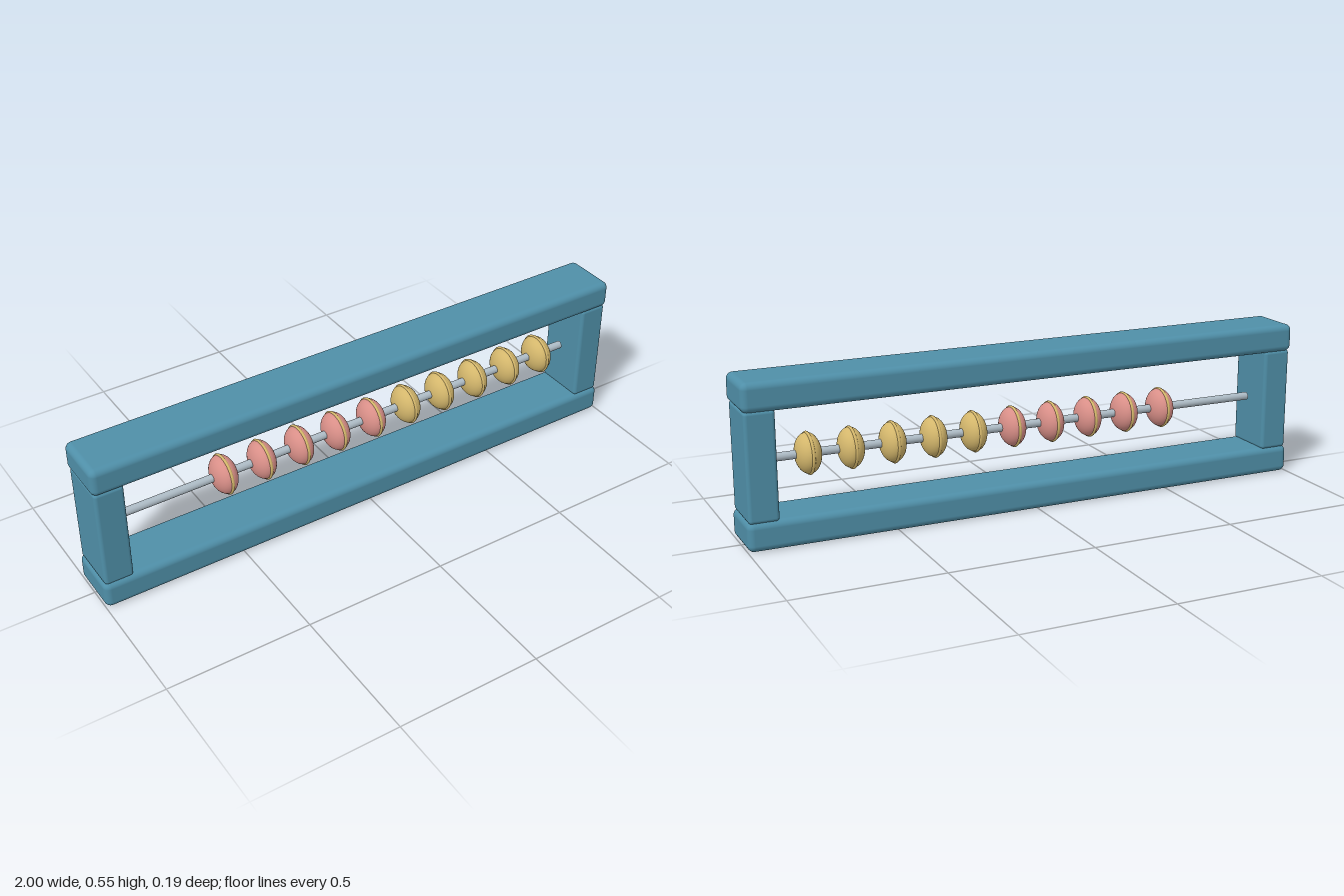
import * as THREE from 'three';
import { RoundedBoxGeometry } from 'three/addons/geometries/RoundedBoxGeometry.js';

const material = (name, color) => {
  const m = new THREE.MeshStandardMaterial({ color });
  m.name = name;
  return m;
};

export function createModel() {
  const model = new THREE.Group();
  model.name = 'beadFrame';
  const teal = material('teal paint', 0x4f8fa8);
  const pink = material('pink bead', 0xd98f88);
  const gold = material('gold bead', 0xd4b76c);
  const steel = material('steel rod', 0xaebcc6);

  const add = (parent, name, geometry, mat, x, y) => {
    const mesh = new THREE.Mesh(geometry, mat);
    mesh.name = name;
    mesh.position.set(x, y, 0);
    parent.add(mesh);
    return mesh;
  };

  // Frame: two long rails and two slightly narrower posts
  const rail = new RoundedBoxGeometry(2, 0.097, 0.194, 4, 0.022);
  add(model, 'bottomRail', rail, teal, 0, 0.0485);
  add(model, 'topRail', rail, teal, 0, 0.4965);
  const post = new RoundedBoxGeometry(0.1, 0.362, 0.181, 4, 0.012);
  add(model, 'leftPost', post, teal, 0.944, 0.2725);
  add(model, 'rightPost', post, teal, -0.944, 0.2725);

  // Rod along x
  const rodY = 0.274;
  const rod = new THREE.CylinderGeometry(0.014, 0.014, 1.756, 20).rotateZ(Math.PI / 2);
  add(model, 'rod', rod, steel, 0, rodY);

  // Flattened beads, each with a thin gold band around its rim
  const body = new THREE.SphereGeometry(0.067, 32, 20).rotateZ(Math.PI / 2).scale(0.63, 1, 1);
  const band = new THREE.TorusGeometry(0.0655, 0.0055, 8, 40).rotateY(Math.PI / 2);
  for (let i = 0; i < 10; i++) {
    const bead = new THREE.Group();
    bead.name = `bead${i + 1}`;
    bead.position.set(-0.515 + i * 0.1428, rodY, 0);
    add(bead, 'beadBody', body, i < 5 ? pink : gold, 0, 0);
    add(bead, 'beadBand', band, gold, 0, 0);
    model.add(bead);
  }
  return model;
}
